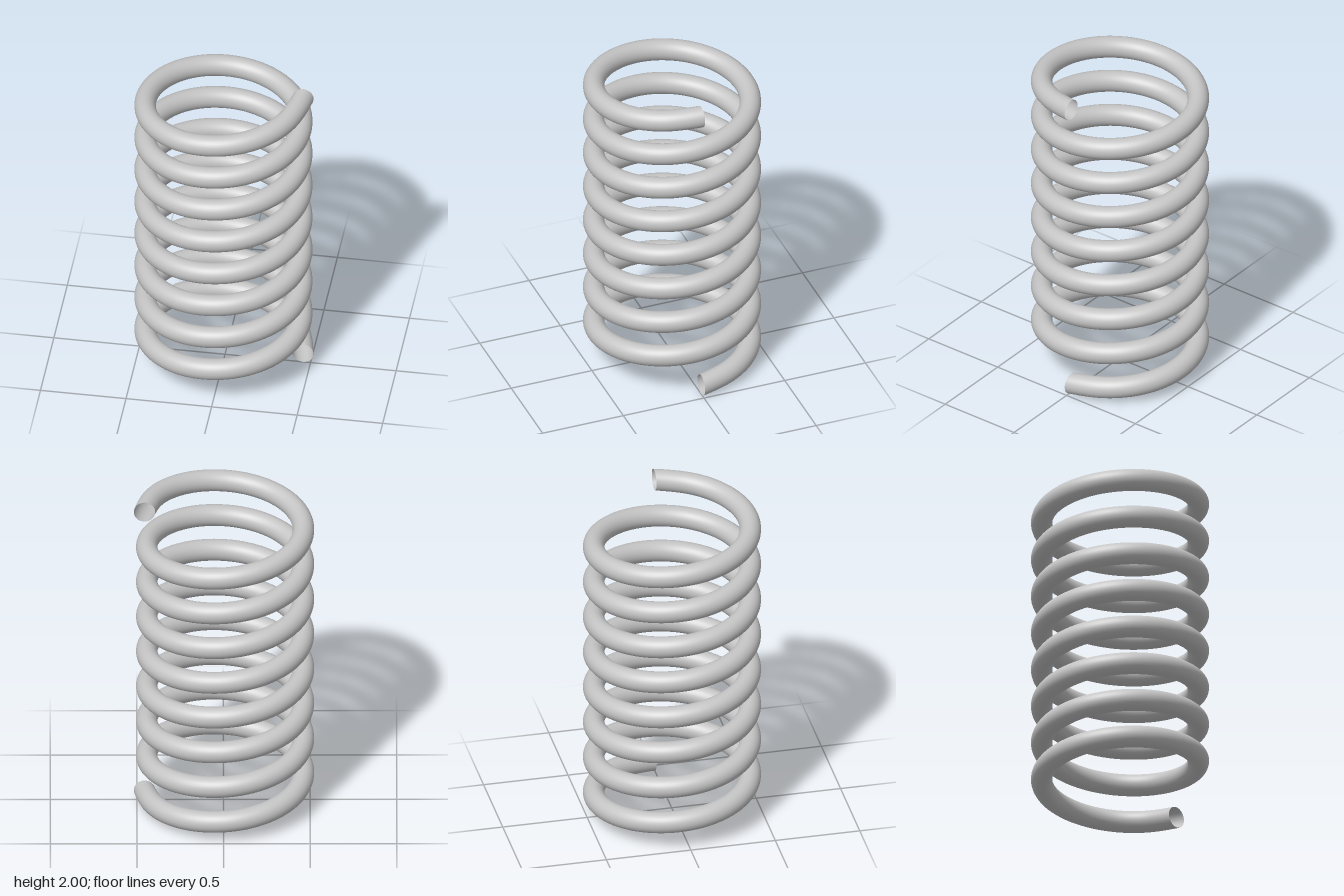
import * as THREE from 'three';
import { ParametricGeometry } from 'three/addons/geometries/ParametricGeometry.js';

const TURNS = 8;
const COIL_RADIUS = 0.4525;
const WIRE_RADIUS = 0.062;
const CENTRE_X = -0.009;
const BOTTOM = 0.066;
const TOP = 1.934;
const END_FLARE = 0.0125; // both tips straighten slightly outwards
const FLARE_ANGLE = 0.3;

// Wire surface: u runs along the helix, v around the upright round section
function wirePoint(u, v, target) {
  const total = TURNS * Math.PI * 2;
  const angle = u * total;
  const nearEnd = Math.max(0, 1 - Math.min(angle, total - angle) / FLARE_ANGLE);
  const section = v * Math.PI * 2;
  const radius = COIL_RADIUS + END_FLARE * nearEnd ** 2 + WIRE_RADIUS * Math.cos(section);
  target.set(
    CENTRE_X + radius * Math.cos(angle),
    THREE.MathUtils.lerp(BOTTOM, TOP, u) + WIRE_RADIUS * 1.03 * Math.sin(section),
    -radius * Math.sin(angle)
  );
}

export function createModel() {
  const group = new THREE.Group();
  group.name = 'coilSpring';

  const steel = new THREE.MeshStandardMaterial({ color: 0xc4c4c4, side: THREE.DoubleSide });
  steel.name = 'steel grey';

  // Hollow wire, open at both tips
  const coil = new THREE.Mesh(new ParametricGeometry(wirePoint, TURNS * 96, 32), steel);
  coil.name = 'springCoil';
  group.add(coil);

  return group;
}
